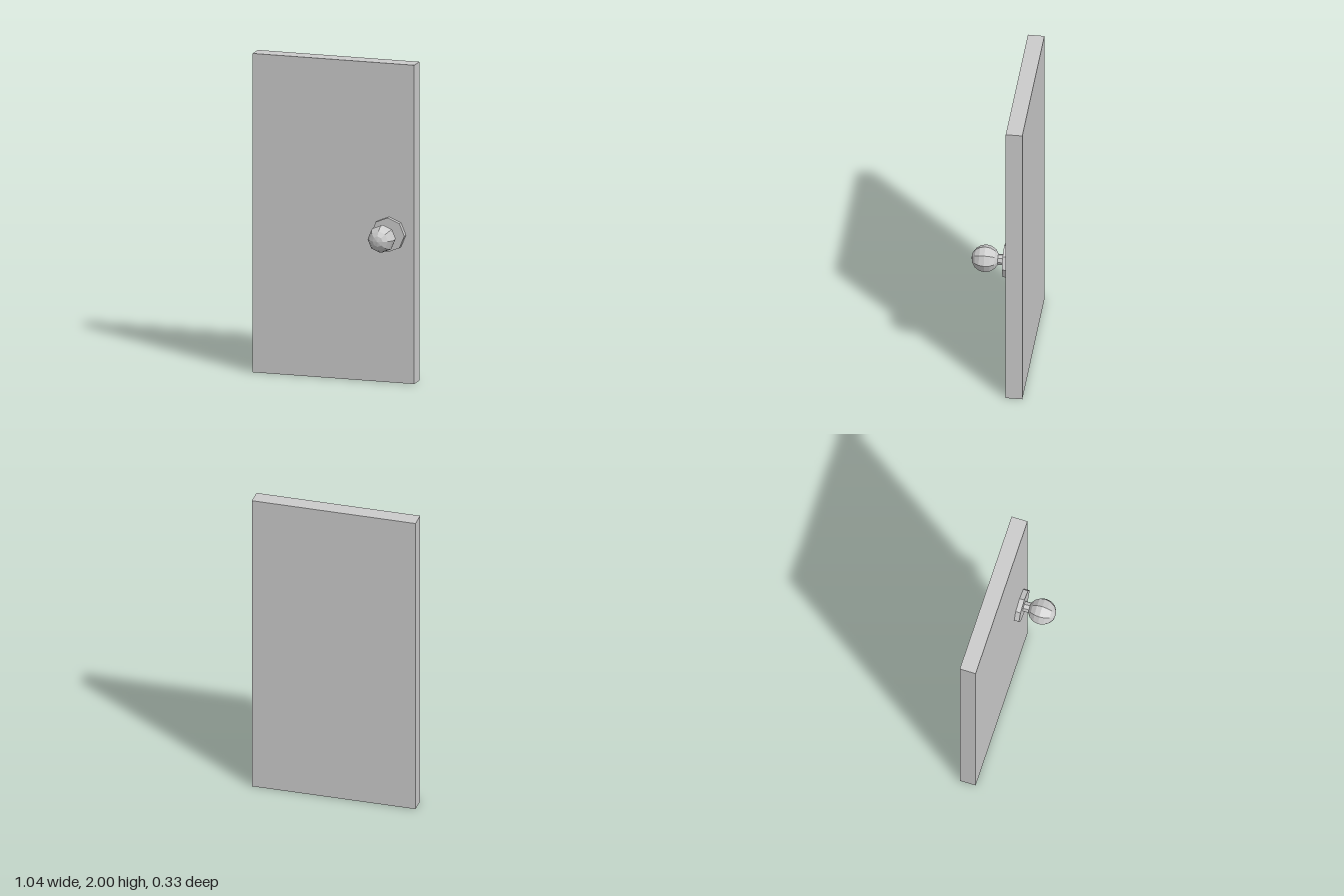
import * as THREE from 'three';

export function createModel() {
  const model = new THREE.Group();
  const material = new THREE.MeshStandardMaterial({ color: 0xcccccc, flatShading: true });

  const add = (name, geometry, x, y, z) => {
    const mesh = new THREE.Mesh(geometry, material);
    mesh.name = name;
    mesh.position.set(x, y, z);
    model.add(mesh);
  };

  // Plain slab standing on the ground
  add('doorPanel', new THREE.BoxGeometry(1.042, 2, 0.102), 0, 1, -0.116);

  // Eight-sided handle parts, all turned so their axis points forward
  const sides = 8, knobX = 0.36, knobY = 0.93;
  const disc = (radius, back, front) =>
    new THREE.CylinderGeometry(radius, radius, front - back, sides).rotateX(Math.PI / 2)
      .translate(0, 0, (back + front) / 2);

  add('backPlate', disc(0.108, -0.065, -0.034), knobX, knobY, 0);
  add('knobStem', disc(0.034, -0.034, 0.01), knobX, knobY, 0);
  add('knob', new THREE.SphereGeometry(0.086, sides, 8).rotateX(Math.PI / 2), knobX, knobY, 0.081);

  return model;
}
